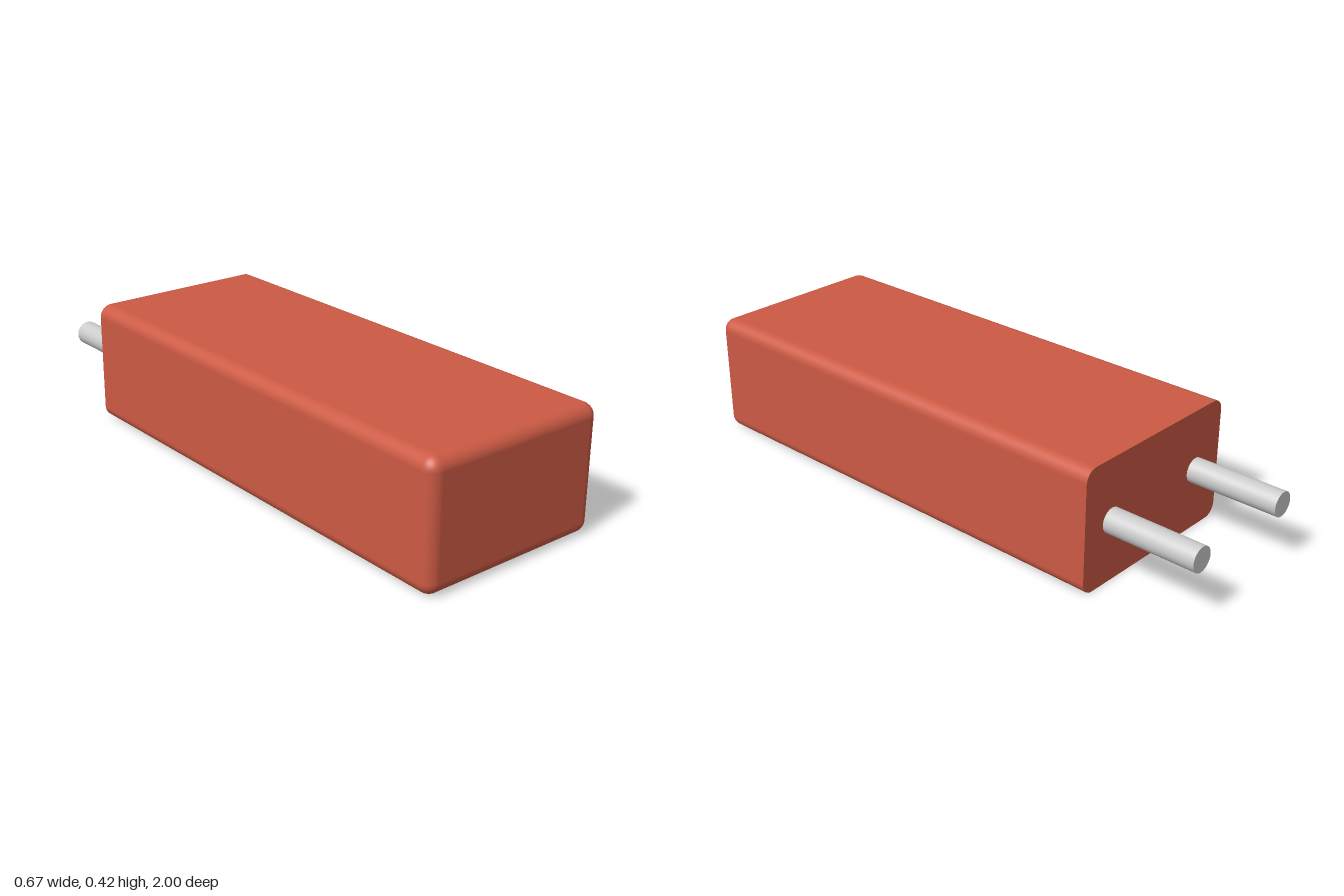
import * as THREE from 'three';

const HALF_W = 0.335, HEIGHT = 0.42, BACK = -0.68, FRONT = 1, R = 0.042;
const CORNER_STEPS = 8, EDGE_STEPS = 8, MID = HEIGHT / 2;

// Block with rounded long edges and rounded front, but a flat sharp back.
function bodyGeometry() {
  const pos = [], nor = [], idx = [];
  const add = (x, y, z, nx, ny, nz) => {
    pos.push(x, y, z);
    nor.push(nx, ny, nz);
    return pos.length / 3 - 1;
  };

  // Adds one rounded-rectangle ring; tilt turns its normals toward the front.
  const ring = (z, tilt, flat) => {
    const start = pos.length / 3, c = Math.cos(tilt), s = Math.sin(tilt);
    for (let q = 0; q < 4; q++) {
      const sx = q === 0 || q === 3 ? 1 : -1, sy = q < 2 ? 1 : -1;
      for (let i = 0; i <= CORNER_STEPS; i++) {
        const a = (q + i / CORNER_STEPS) * Math.PI / 2;
        const dx = Math.cos(a) * c, dy = Math.sin(a) * c;
        const x = sx * (HALF_W - R) + dx * R, y = MID + sy * (MID - R) + dy * R;
        if (flat) add(x, y, z, 0, 0, flat);
        else add(x, y, z, dx, dy, s);
      }
    }
    return start;
  };
  const n = 4 * (CORNER_STEPS + 1);

  // Sides, then the quarter-round running into the front face
  const rings = [ring(BACK, 0)];
  for (let k = 0; k <= EDGE_STEPS; k++) {
    const t = k / EDGE_STEPS * Math.PI / 2;
    rings.push(ring(FRONT - R + R * Math.sin(t), t));
  }
  for (let k = 0; k < rings.length - 1; k++) {
    for (let i = 0; i < n; i++) {
      const j = (i + 1) % n, a = rings[k], b = rings[k + 1];
      idx.push(a + i, a + j, b + j, a + i, b + j, b + i);
    }
  }

  // Flat front and back faces
  const cap = (z, tilt, dir) => {
    const start = ring(z, tilt, dir), centre = add(0, MID, z, 0, 0, dir);
    for (let i = 0; i < n; i++) {
      const a = start + i, b = start + (i + 1) % n;
      if (dir > 0) idx.push(centre, a, b);
      else idx.push(centre, b, a);
    }
  };
  cap(FRONT, Math.PI / 2, 1);
  cap(BACK, 0, -1);

  const g = new THREE.BufferGeometry();
  g.setAttribute('position', new THREE.Float32BufferAttribute(pos, 3));
  g.setAttribute('normal', new THREE.Float32BufferAttribute(nor, 3));
  g.setIndex(idx);
  return g;
}

export function createModel() {
  const model = new THREE.Group();
  model.name = 'pluggedBlock';

  const body = new THREE.Mesh(bodyGeometry(), new THREE.MeshStandardMaterial({ color: 0xcc5a44 }));
  body.name = 'body';
  model.add(body);

  // Two round pins standing out of the back
  const metal = new THREE.MeshStandardMaterial({ color: 0xcccccc });
  const length = BACK + 1;
  const pin = new THREE.CylinderGeometry(0.042, 0.042, length, 32).rotateX(Math.PI / 2);
  for (const side of [1, -1]) {
    const mesh = new THREE.Mesh(pin, metal);
    mesh.name = side > 0 ? 'leftPin' : 'rightPin';
    mesh.position.set(side * 0.21, 0.21, -1 + length / 2);
    model.add(mesh);
  }
  return model;
}
